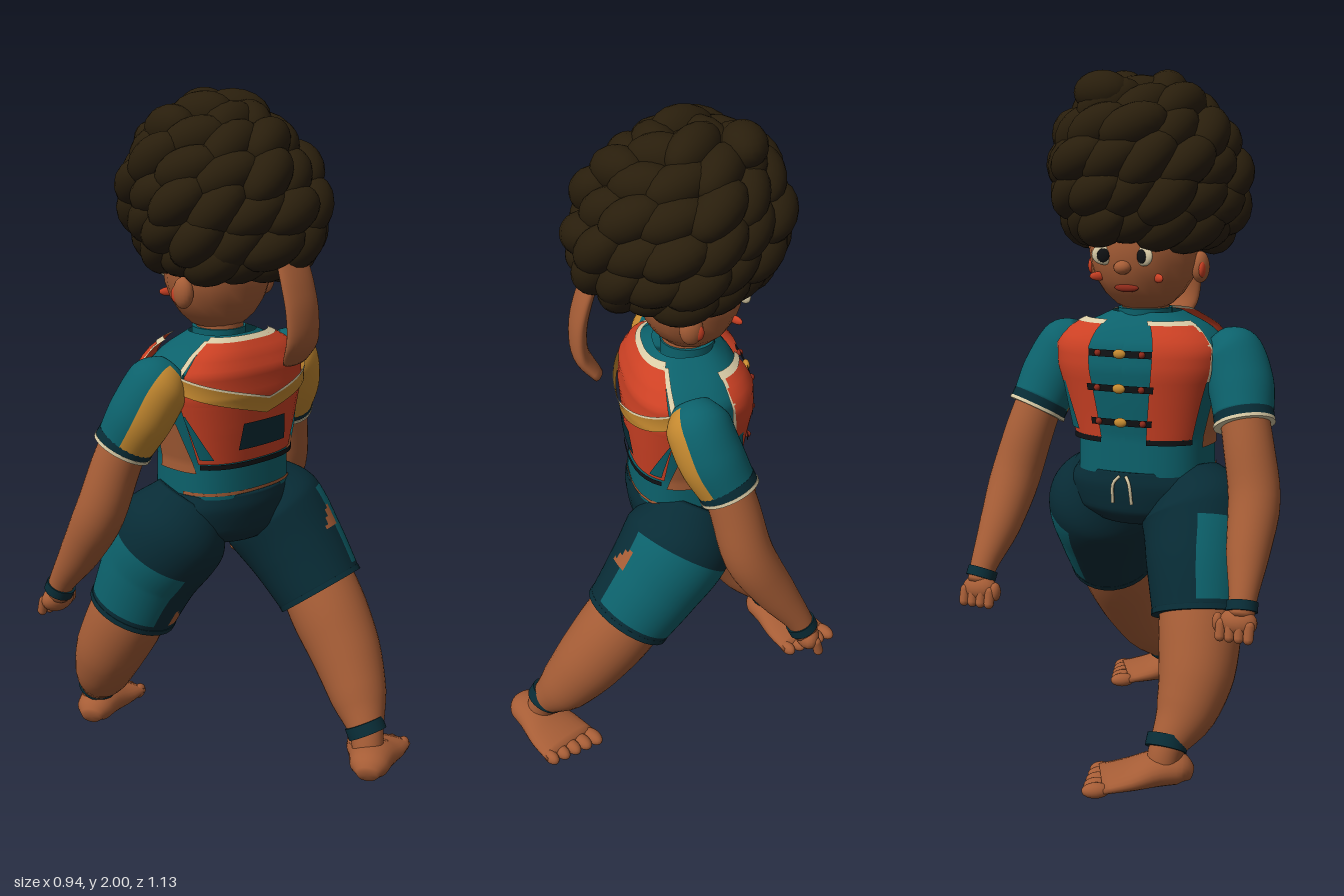
import * as THREE from 'three';

const mat = (name, color, side = THREE.FrontSide) => {
  const m = new THREE.MeshStandardMaterial({ color, side });
  m.name = name;
  return m;
};
const D = THREE.DoubleSide;
const skin = mat('skin', 0xa65d36), hair = mat('hair', 0x291e0c), teal = mat('teal', 0x0c616b, D),
  navy = mat('dark teal', 0x082c36), red = mat('red', 0xcd4124, D), gold = mat('gold', 0xc68a30, D),
  cream = mat('cream', 0xd9cba6, D), black = mat('black', 0x101214, D), lip = mat('lip', 0x8e2a1a);
const V = (x, y, z) => new THREE.Vector3(x, y, z);

export function createModel() {
  const root = new THREE.Group();
  const add = (name, geo, m, parent = root) => {
    const mesh = new THREE.Mesh(geo, m);
    mesh.name = name;
    parent.add(mesh);
    return mesh;
  };
  const ball = (name, m, p, s, parent = root) => {
    const b = add(name, new THREE.SphereGeometry(1, 18, 12), m, parent);
    b.position.set(...p);
    b.scale.set(...s);
    return b;
  };

  // Smooth closed limb through [x, y, z, ru, rv] sections; pick(t, cos, sin) chooses a material index
  function loft(name, secs, mats, pick = null, rows = 20, seg = 32, parent = root) {
    const path = new THREE.CatmullRomCurve3(secs.map(s => V(s[0], s[1], s[2])));
    const radii = new THREE.CatmullRomCurve3(secs.map(s => V(s[3], s[4] ?? s[3], 0)));
    const pos = [], groups = mats.map(() => []);
    for (let i = 0; i <= rows; i++) {
      const t = i / rows, c = path.getPoint(t), r = radii.getPoint(t), T = path.getTangent(t);
      const u = V(1, 0, 0).addScaledVector(T, -T.x).normalize(), v = T.clone().cross(u);
      for (let j = 0; j < seg; j++) {
        const a = j / seg * Math.PI * 2;
        pos.push(...c.clone().addScaledVector(u, Math.cos(a) * r.x).addScaledVector(v, Math.sin(a) * r.y).toArray());
      }
    }
    for (let i = 0; i < rows; i++) for (let j = 0; j < seg; j++) {
      const k = (j + 1) % seg, a = i * seg + j, b = i * seg + k, c = b + seg, d = a + seg;
      const w = (j + 0.5) / seg * Math.PI * 2;
      groups[pick ? pick((i + 0.5) / rows, Math.cos(w), Math.sin(w)) : 0].push(a, b, c, a, c, d);
    }
    const e = pos.length / 3, last = rows * seg;
    pos.push(...path.getPoint(0).toArray(), ...path.getPoint(1).toArray());
    for (let j = 0; j < seg; j++) {
      const k = (j + 1) % seg;
      groups[0].push(e, k, j, e + 1, last + j, last + k);
    }
    const g = new THREE.BufferGeometry();
    g.setAttribute('position', new THREE.Float32BufferAttribute(pos, 3));
    g.setIndex(groups.flat());
    let start = 0;
    groups.forEach((q, i) => { g.addGroup(start, q.length, i); start += q.length; });
    g.computeVertexNormals();
    return add(name, g, mats, parent);
  }

  // Short band around a limb
  function band(name, m, p, dir, r, h) {
    const b = add(name, new THREE.CylinderGeometry(r, r, h, 28), m);
    b.position.set(...p);
    b.quaternion.setFromUnitVectors(V(0, 1, 0), V(...dir).normalize());
    return b;
  }

  // Torso surface: angle a in degrees (0 = +z, 90 = +x), height y, offset outward
  const prof = [[0.84, 0.2, 0.16], [0.95, 0.2, 0.157], [1.05, 0.222, 0.168], [1.15, 0.245, 0.177],
    [1.22, 0.24, 0.165], [1.27, 0.185, 0.13], [1.31, 0.1, 0.085]];
  function torsoPoint(a, y, off) {
    let i = 0;
    while (i < prof.length - 2 && y > prof[i + 1][0]) i++;
    const [y0, x0, z0] = prof[i], [y1, x1, z1] = prof[i + 1], t = (y - y0) / (y1 - y0);
    const s = Math.sin(a * Math.PI / 180), c = Math.cos(a * Math.PI / 180);
    const k = 1 / Math.pow(Math.abs(s) ** 2.6 + Math.abs(c) ** 2.6, 1 / 2.6);
    return [(x0 + (x1 - x0) * t + off) * s * k, y, -0.02 + (z0 + (z1 - z0) * t + off) * c * k];
  }
  // Patch wrapped on the torso; corners [angle, y] go bottom-left, bottom-right, top-right, top-left
  function wrap(name, m, q, off, topOff = off, nx = 14, ny = 14) {
    const g = new THREE.PlaneGeometry(1, 1, nx, ny), p = g.attributes.position;
    for (let i = 0; i < p.count; i++) {
      const u = p.getX(i) + 0.5, v = p.getY(i) + 0.5;
      const f = k => (q[0][k] * (1 - u) + q[1][k] * u) * (1 - v) + (q[3][k] * (1 - u) + q[2][k] * u) * v;
      p.setXYZ(i, ...torsoPoint(f(0), f(1), off + (topOff - off) * v * v));
    }
    g.computeVertexNormals();
    return add(name, g, m);
  }

  // Torso, hips and neck
  wrap('shirt', teal, [[-180, 0.84], [180, 0.84], [180, 1.31], [-180, 1.31]], 0, 0, 64, 30);
  loft('hips', [[0, 0.69, -0.02, 0.15, 0.13], [0, 0.73, -0.02, 0.225, 0.16], [0, 0.8, -0.02, 0.24, 0.172],
    [0, 0.85, -0.02, 0.213, 0.168]], [navy]);
  wrap('waistSkin', skin, [[-75, 0.852], [75, 0.852], [75, 0.862], [-75, 0.862]], 0.004);
  band('collar', teal, [0, 1.28, -0.035], [0, 1, 0], 0.08, 0.08);
  band('neck', skin, [0, 1.32, -0.03], [0, 1, 0], 0.07, 0.1);

  // Vest back: red panel, chevron, pocket, belt and flared trimmed collar
  wrap('vestBack', red, [[-58, 0.95], [58, 0.95], [68, 1.13], [-68, 1.13]], 0.006);
  wrap('vestYoke', red, [[-68, 1.13], [68, 1.13], [56, 1.305], [-56, 1.305]], 0.006, 0.036);
  wrap('backCollar', cream, [[-56, 1.3], [56, 1.3], [56, 1.313], [-56, 1.313]], 0.036);
  wrap('backPocket', navy, [[-24, 0.99], [24, 0.99], [20, 1.07], [-20, 1.07]], 0.012);
  wrap('belt', black, [[-56, 0.935], [56, 0.935], [56, 0.95], [-56, 0.95]], 0.012);
  for (const s of [-1, 1]) {
    const flip = q => s > 0 ? q : [1, 0, 3, 2].map(i => [-q[i][0], q[i][1]]);
    const patch = (name, m, q, off, topOff) => wrap(name, m, flip(q), off, topOff);
    patch('chevron', gold, [[0, 1.09], [76, 1.18], [76, 1.225], [0, 1.135]], 0.014, 0.02);
    patch('chevronTrim', cream, [[0, 1.135], [76, 1.225], [76, 1.232], [0, 1.142]], 0.021);
    patch('shoulderTrim', cream, [[66, 1.2], [71, 1.2], [60, 1.305], [55, 1.305]], 0.016, 0.038);
    patch('sideTear', teal, [[44, 0.965], [56, 0.965], [66, 1.1], [64, 1.1]], 0.01);
    patch('sideSkin', skin, [[60, 0.92], [108, 0.92], [104, 1.07], [76, 1.07]], 0.004);
    // Vest front panels
    patch('vestFront', red, [[124, 0.95], [161, 0.95], [158, 1.285], [118, 1.285]], 0.012, 0.036);
    patch('frontTrim', cream, [[116, 1.28], [160, 1.28], [160, 1.292], [116, 1.292]], 0.037);
    patch('frontTrimSide', cream, [[118, 1.12], [121, 1.12], [121, 1.285], [117, 1.285]], 0.018, 0.037);
    patch('frontHem', black, [[124, 0.935], [161, 0.935], [161, 0.95], [124, 0.95]], 0.013);
    // Drawstring
    const cord = new THREE.CatmullRomCurve3([V(s * 0.01, 0.84, -0.192), V(s * 0.025, 0.82, -0.203), V(s * 0.03, 0.76, -0.197)]);
    add('drawstring', new THREE.TubeGeometry(cord, 8, 0.005, 6), cream);
  }
  wrap('frontTear', teal, [[124, 0.965], [140, 0.965], [130, 1.13], [125, 1.13]], 0.017);
  for (const y of [1.0, 1.1, 1.2]) {
    wrap('strap', black, [[157, y - 0.01], [203, y - 0.01], [203, y + 0.01], [157, y + 0.01]], 0.024);
    const z = torsoPoint(180, y, 0.024)[2];
    ball('button', gold, [0, y, z], [0.02, 0.014, 0.01]);
    for (const s of [-1, 1]) ball('strapKnob', lip, [s * 0.07, y, z + 0.002], [0.01, 0.01, 0.01]);
  }

  // Arms
  for (const s of [-1, 1]) {
    loft('sleeve', [[s * 0.215, 1.225, 0, 0.055], [s * 0.265, 1.185, -0.01, 0.094], [s * 0.303, 1.11, -0.035, 0.096],
      [s * 0.332, 1.015, -0.08, 0.086]], [teal, gold], (t, cu, sv) => sv > 0.3 + 0.25 * Math.max(0, cu * s) && t > 0.1 ? 1 : 0, 20, 48);
    const d = [s * 0.3, -0.9, -0.38];
    band('sleeveCuff', navy, [s * 0.332, 1.018, -0.079], d, 0.088, 0.026);
    band('cuffTrim', cream, [s * 0.336, 1.002, -0.086], d, 0.09, 0.01);
    loft('arm', [[s * 0.325, 1.05, -0.07, 0.07], [s * 0.355, 0.94, -0.1, 0.073], [s * 0.387, 0.8, -0.135, 0.075],
      [s * 0.4, 0.66, -0.215, 0.062], [s * 0.415, 0.55, -0.288, 0.04], [s * 0.418, 0.5, -0.31, 0.036]], [skin]);
    band('wristband', navy, [s * 0.416, 0.528, -0.298], [s * 0.1, -0.85, -0.4], 0.045, 0.028);
    ball('hand', skin, [s * 0.412, 0.488, -0.316], [0.056, 0.04, 0.036]);
    for (let i = 0; i < 4; i++) {
      const f = add('finger', new THREE.CapsuleGeometry(0.015, 0.035, 4, 10), skin);
      f.position.set(s * (0.368 + i * 0.028), 0.468, -0.338);
      f.rotation.x = 0.25;
    }
    ball('thumb', skin, [s * 0.355, 0.485, -0.325], [0.016, 0.028, 0.018]);
  }

  // Legs: shorts, calf, ankle strap and foot
  const legs = [
    { s: 1, shorts: [[0.12, 0.81, -0.03, 0.115], [0.172, 0.71, 0.03, 0.168], [0.2, 0.6, 0.11, 0.153], [0.216, 0.49, 0.19, 0.137]],
      calf: [[0.215, 0.55, 0.15, 0.115], [0.212, 0.44, 0.225, 0.12], [0.205, 0.32, 0.31, 0.109], [0.18, 0.2, 0.39, 0.086],
        [0.145, 0.11, 0.455, 0.05], [0.13, 0.04, 0.475, 0.045]], strap: [0.148, 0.13, 0.447], foot: [0.088, 0.515], turn: -1.0 },
    { s: -1, shorts: [[-0.12, 0.81, -0.02, 0.115], [-0.178, 0.71, -0.05, 0.168], [-0.207, 0.59, -0.115, 0.153], [-0.233, 0.455, -0.17, 0.136]],
      calf: [[-0.23, 0.52, -0.15, 0.115], [-0.245, 0.42, -0.19, 0.12], [-0.26, 0.3, -0.25, 0.11], [-0.25, 0.2, -0.305, 0.088],
        [-0.22, 0.11, -0.37, 0.05], [-0.21, 0.04, -0.385, 0.045]], strap: [-0.22, 0.125, -0.367], foot: [-0.25, -0.352], turn: -1.05 },
  ];
  for (const { s, shorts, calf, strap, foot, turn } of legs) {
    // Lighter outer panel plus one torn corner showing skin
    loft('shorts', shorts, [navy, teal, skin], (t, cu, sv) => {
      if (t > 0.96) return 0;
      if (s > 0 && sv > 0 && cu < 0.45 && t > 0.46 && t < 0.66 && cu > 0.45 - 2.6 * (t - 0.46)) return 2;
      if (s < 0 && sv > 0 && cu > 0.1 && t > 0.8 && cu - 0.1 < 4 * (t - 0.8)) return 2;
      return t > (s > 0 ? 0.36 : 0.45) && cu * s > 0.35 ? 1 : 0;
    }, 40, 60);
    const [a, b] = shorts.slice(-2);
    band('shortsHem', navy, b.slice(0, 3), [b[0] - a[0], b[1] - a[1], b[2] - a[2]], 0.139, 0.016);
    loft('calf', calf, [skin]);
    band('ankleStrap', navy, strap, [0, 0.85, s * -0.5], 0.06, 0.036);
    const f = new THREE.Group();
    f.name = 'foot';
    f.position.set(foot[0], 0, foot[1]);
    f.rotation.y = turn;
    root.add(f);
    loft('footBody', [[0, 0.036, 0.035, 0.03, 0.022], [0, 0.05, 0, 0.058, 0.045], [0, 0.052, -0.06, 0.07, 0.048],
      [0, 0.037, -0.14, 0.09, 0.035], [0, 0.026, -0.22, 0.098, 0.024]], [skin], null, 16, 24, f);
    for (let i = 0; i < 5; i++)
      ball('toe', skin, [-0.076 + i * 0.038, 0.024, -0.24 + 0.006 * i], [0.023 - i * 0.001, 0.022, 0.04 - i * 0.002], f);
  }

  // Head and face
  ball('head', skin, [0, 1.5, -0.04], [0.165, 0.195, 0.155]);
  ball('nose', skin, [0, 1.445, -0.19], [0.026, 0.02, 0.022]);
  ball('mouth', lip, [0, 1.385, -0.163], [0.038, 0.012, 0.01]);
  for (const s of [-1, 1]) {
    ball('ear', skin, [s * 0.165, 1.44, -0.01], [0.026, 0.046, 0.034]);
    ball('innerEar', red, [s * 0.178, 1.435, -0.028], [0.01, 0.024, 0.016]);
    ball('eye', cream, [s * 0.062, 1.48, -0.18], [0.036, 0.03, 0.012]).rotation.y = s * 0.4;
    ball('pupil', black, [s * 0.06, 1.478, -0.191], [0.018, 0.02, 0.006]).rotation.y = s * 0.4;
    ball('cheek', red, [s * 0.095, 1.415, -0.152], [0.026, 0.013, 0.008]).rotation.y = s * 0.65;
  }

  // Hair: core covered with rings of overlapping twisted locks, lower towards the back
  ball('hairCore', hair, [0, 1.725, -0.01], [0.235, 0.2, 0.245]);
  [[-38, 13], [-17, 14], [5, 14], [28, 12], [51, 9], [73, 5]].forEach(([lat, n], ring) => {
    for (let i = 0; i < n; i++) {
      const a = (i + ring * 0.5) / n * Math.PI * 2, l = lat * Math.PI / 180;
      const d = V(Math.cos(l) * Math.sin(a), Math.sin(l), Math.cos(l) * Math.cos(a));
      const wob = 0.232 + 0.012 * Math.sin(i * 2.4 + ring);
      const lift = ring === 0 ? 0.035 * Math.max(0, -d.z) : -0.035 * d.z;
      const lock = ball('hairLock', hair, [d.x * wob, 1.695 + d.y * wob + lift, -0.01 + d.z * wob * 1.08], [0.102, 0.064, 0.07]);
      lock.lookAt(lock.position.clone().add(d));
      lock.rotateZ(0.6 + 0.2 * Math.sin(i * 1.7 + ring));
    }
  });
  ball('topLock', hair, [0.07, 1.935, -0.17], [0.085, 0.062, 0.065]);
  ball('crownLock', hair, [0.0, 1.91, -0.02], [0.09, 0.05, 0.06]);

  // Flat ribbon hanging from the back of the hair
  loft('ribbon', [[0.015, 1.56, 0.24, 0.058, 0.02], [0.015, 1.48, 0.268, 0.062, 0.024], [0.018, 1.4, 0.285, 0.062, 0.025],
    [0.025, 1.315, 0.28, 0.06, 0.025], [0.045, 1.25, 0.235, 0.045, 0.016]], [skin]);

  return root;
}
